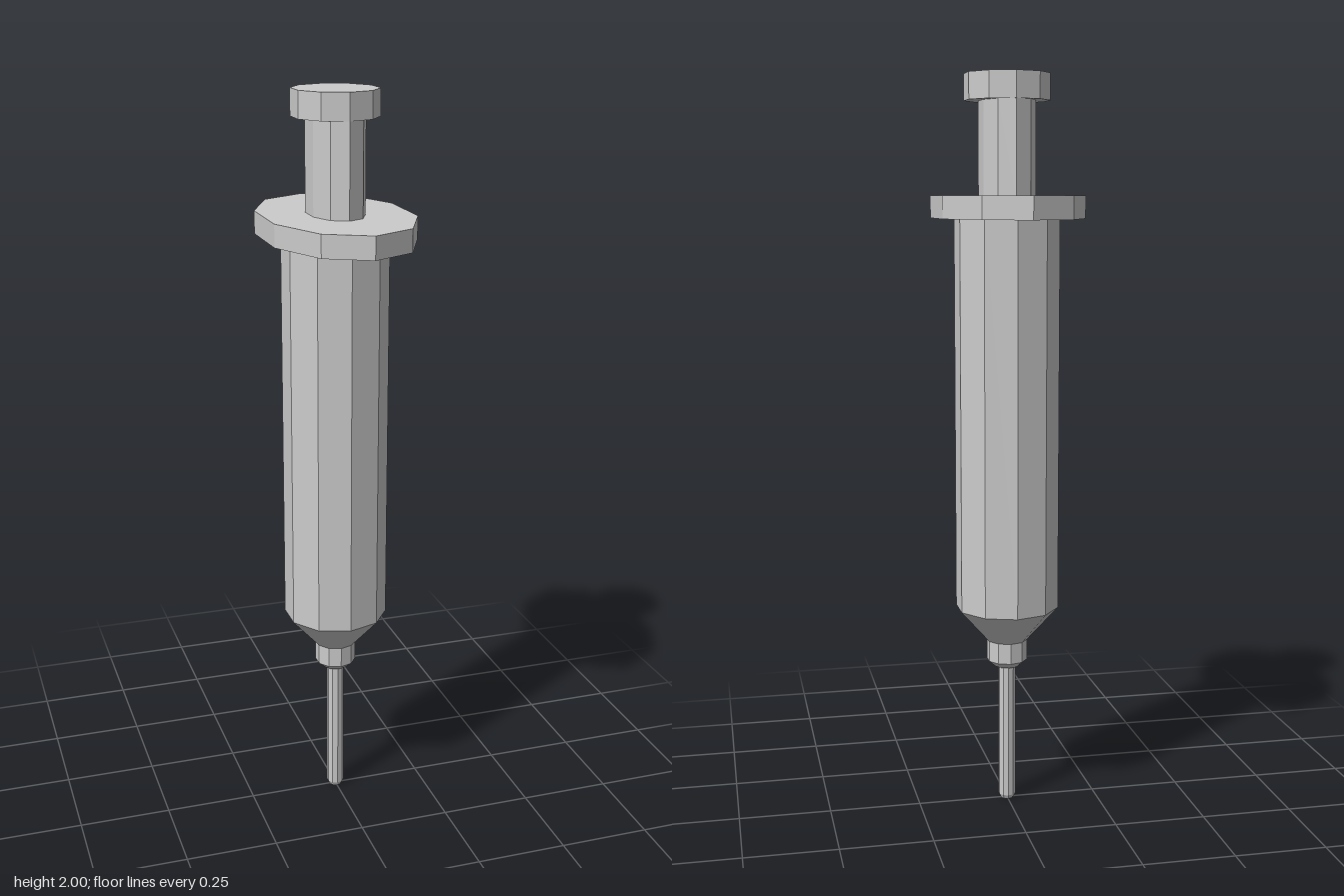
import * as THREE from 'three';

const SIDES = 10;

export function createModel() {
  const group = new THREE.Group();
  group.name = 'syringe';
  const material = new THREE.MeshStandardMaterial({ color: 0xcccccc, flatShading: true });

  // Ten-sided turned part from [radius, y] pairs, bottom to top, squeezed in x if needed
  function turned(name, profile, scaleX = 1) {
    const points = profile.map(([r, y]) => new THREE.Vector2(r, y));
    const geometry = new THREE.LatheGeometry(points, SIDES);
    geometry.scale(scaleX, 1, 1);
    const mesh = new THREE.Mesh(geometry, material);
    mesh.name = name;
    group.add(mesh);
  }

  // Needle with a slightly bevelled tip
  turned('needle', [[0, 0], [0.018, 0], [0.024, 0.012], [0.024, 0.4], [0, 0.4]]);

  // Collar that holds the needle
  turned('needleHub', [[0, 0.39], [0.035, 0.39], [0.056, 0.408], [0.056, 0.47], [0, 0.47]]);

  // Barrel with its tapered lower end
  turned('barrel', [[0, 0.465], [0.056, 0.465], [0.142, 0.56], [0.142, 1.63], [0, 1.63]]);

  // Oval finger flange
  turned('fingerFlange', [[0, 1.625], [0.32, 1.625], [0.32, 1.685], [0, 1.685]], 0.2 / 0.32);

  // Flattened plunger rod and its thumb rest
  turned('plungerRod', [[0, 1.68], [0.119, 1.68], [0.119, 1.935], [0, 1.935]], 0.62);
  turned('thumbRest', [[0, 1.93], [0.12, 1.93], [0.12, 2], [0, 2]], 0.95);

  return group;
}
